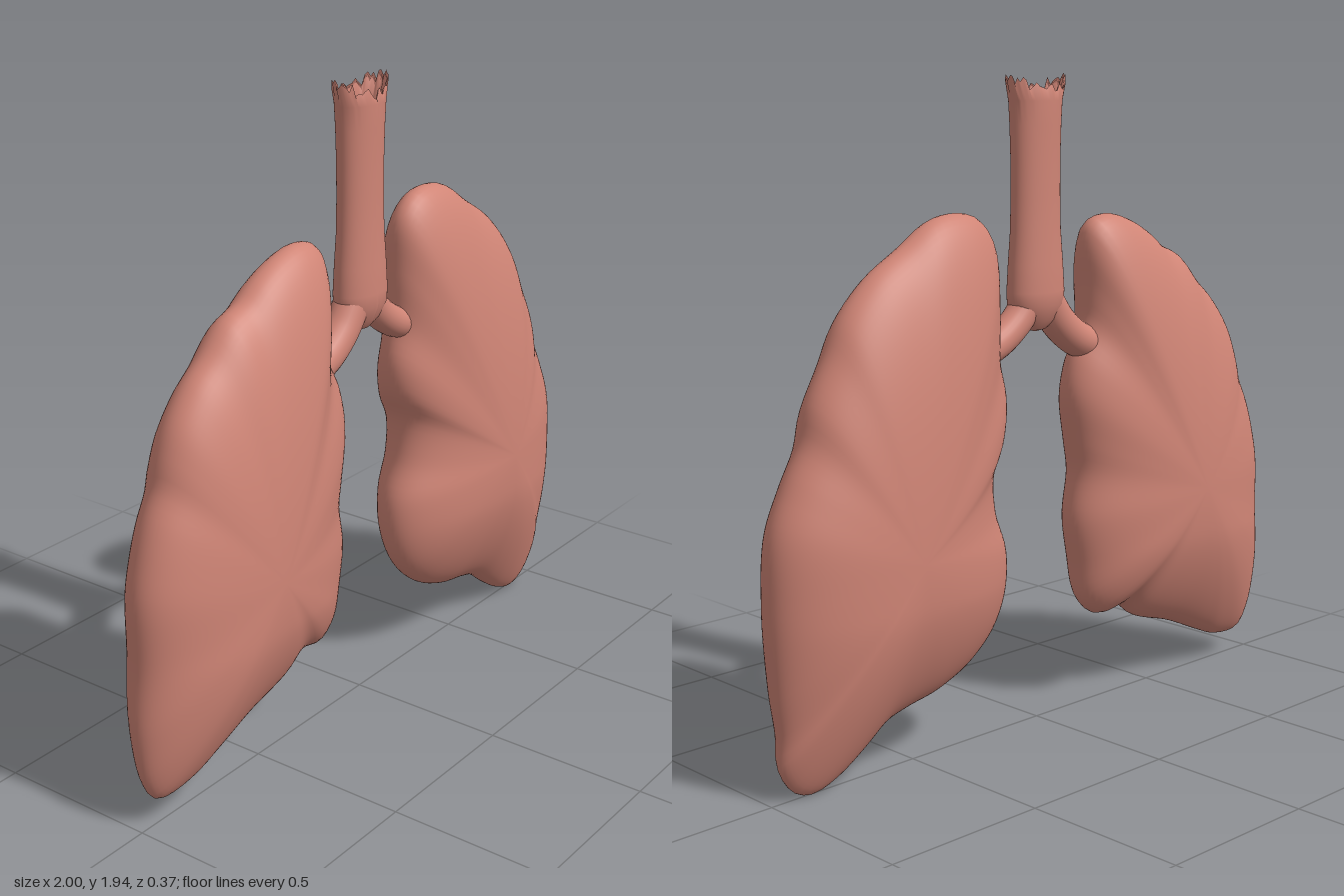
import * as THREE from 'three';

const tissue = new THREE.MeshStandardMaterial({ color: 0xd08576 });
tissue.name = 'tissuePink';
tissue.side = THREE.DoubleSide;

// Front outlines, anticlockwise, [x, y]
const rightOutline = [
  [-0.2, 1.45], [-0.22, 1.51], [-0.29, 1.53], [-0.38, 1.51], [-0.46, 1.47], [-0.53, 1.42], [-0.6, 1.39],
  [-0.68, 1.31], [-0.75, 1.25], [-0.82, 1.16], [-0.86, 1.06], [-0.875, 1.0], [-0.92, 0.91], [-0.955, 0.81],
  [-0.98, 0.7], [-0.985, 0.5], [-1, 0.3], [-0.98, 0.15], [-0.94, 0.09], [-0.83, 0.09], [-0.75, 0.12],
  [-0.6, 0.185], [-0.43, 0.24], [-0.35, 0.295], [-0.25, 0.285], [-0.19, 0.34], [-0.165, 0.46], [-0.145, 0.6],
  [-0.165, 0.75], [-0.15, 0.85], [-0.13, 1.0], [-0.15, 1.1], [-0.2, 1.2], [-0.205, 1.3],
];
const leftOutline = [
  [0.18, 1.33], [0.195, 1.49], [0.25, 1.55], [0.325, 1.565], [0.41, 1.55], [0.515, 1.485], [0.635, 1.41],
  [0.73, 1.31], [0.78, 1.21], [0.845, 1.085], [0.87, 0.985], [0.925, 0.88], [0.98, 0.75], [0.995, 0.55],
  [0.985, 0.31], [0.97, 0.18], [0.97, 0.1], [0.925, 0.03], [0.865, 0.01], [0.785, 0.035], [0.7, 0.09],
  [0.62, 0.15], [0.54, 0.175], [0.42, 0.2], [0.3, 0.255], [0.21, 0.34], [0.165, 0.445], [0.16, 0.58],
  [0.205, 0.71], [0.21, 0.845], [0.165, 0.95], [0.155, 1.05], [0.18, 1.165],
].reverse();

function addMesh(group, name, geometry) {
  const mesh = new THREE.Mesh(geometry, tissue);
  mesh.name = name;
  group.add(mesh);
}

// Lung: the outline shrinks toward a centre on rings from front pole to back pole
function lungGeometry(outline, cx, cy, depth) {
  const curve = new THREE.CatmullRomCurve3(outline.map(([x, y]) => new THREE.Vector3(x, y, 0)), true);
  const n = 144, rings = 48;
  const edge = curve.getSpacedPoints(n).slice(0, n);
  const positions = [], index = [];
  for (let i = 0; i <= rings; i++) {
    const phi = Math.PI * i / rings, t = Math.sin(phi);
    for (const p of edge) {
      const y = cy + (p.y - cy) * t;
      const thin = 1 - 0.5 * Math.pow(Math.max(0, (0.5 - y) / 0.5), 1.5);
      positions.push(cx + (p.x - cx) * t, y, depth * Math.cos(phi) * thin);
    }
  }
  for (let i = 0; i < rings; i++) {
    for (let j = 0; j < n; j++) {
      const k = (j + 1) % n;
      const a = i * n + j, b = a + n, c = (i + 1) * n + k, d = i * n + k;
      if (i < rings - 1) index.push(a, b, c);
      if (i > 0) index.push(a, c, d);
    }
  }
  const geometry = new THREE.BufferGeometry();
  geometry.setAttribute('position', new THREE.Float32BufferAttribute(positions, 3));
  geometry.setIndex(index);
  geometry.computeVertexNormals();
  for (let j = 0; j < n; j++) {
    geometry.attributes.normal.setXYZ(j, 0, 0, 1);
    geometry.attributes.normal.setXYZ(rings * n + j, 0, 0, -1);
  }
  return geometry;
}

// Windpipe: hollow oval pipe with a flared, ragged rim
function tracheaGeometry() {
  const profile = [
    [0, 1.2], [0.035, 1.207], [0.07, 1.235], [0.098, 1.28], [0.1, 1.32], [0.095, 1.4], [0.087, 1.5],
    [0.085, 1.6], [0.085, 1.7], [0.088, 1.8], [0.092, 1.87], [0.108, 1.93],
    [0.096, 1.92], [0.076, 1.86], [0.07, 1.75], [0.07, 1.45], [0, 1.42],
  ].map(([r, y]) => new THREE.Vector2(r, y));
  const segments = 56;
  const geometry = new THREE.LatheGeometry(profile, segments);
  let seed = 7;
  const random = () => (seed = (seed * 16807) % 2147483647) / 2147483647;
  const ragged = Array.from({ length: segments }, () => (random() - 0.5) * 0.035);
  const pos = geometry.attributes.position;
  for (let i = 0; i < pos.count; i++) {
    const column = Math.floor(i / profile.length) % segments;
    const x = pos.getX(i), y = pos.getY(i);
    if (y > 1.91) pos.setY(i, y - 0.03 + 0.035 * (x / 0.108) ** 2 + ragged[column]);
    pos.setX(i, x + 0.004);
    pos.setZ(i, pos.getZ(i) * (y > 1.9 ? 0.54 : 0.66));
  }
  geometry.computeVertexNormals();
  return geometry;
}

function bronchusGeometry(points, radius) {
  const curve = new THREE.CatmullRomCurve3(points.map(([x, y]) => new THREE.Vector3(x, y, 0)));
  return new THREE.TubeGeometry(curve, 24, radius, 24);
}

export function createModel() {
  const group = new THREE.Group();
  group.name = 'lungs';
  addMesh(group, 'rightLung', lungGeometry(rightOutline, -0.58, 0.66, 0.183));
  addMesh(group, 'leftLung', lungGeometry(leftOutline, 0.6, 0.64, 0.183));
  addMesh(group, 'trachea', tracheaGeometry());
  addMesh(group, 'rightBronchus', bronchusGeometry([[-0.03, 1.3], [-0.09, 1.22], [-0.16, 1.165], [-0.25, 1.13]], 0.054));
  addMesh(group, 'leftBronchus', bronchusGeometry([[0.03, 1.3], [0.085, 1.235], [0.165, 1.18], [0.26, 1.15]], 0.048));
  return group;
}
